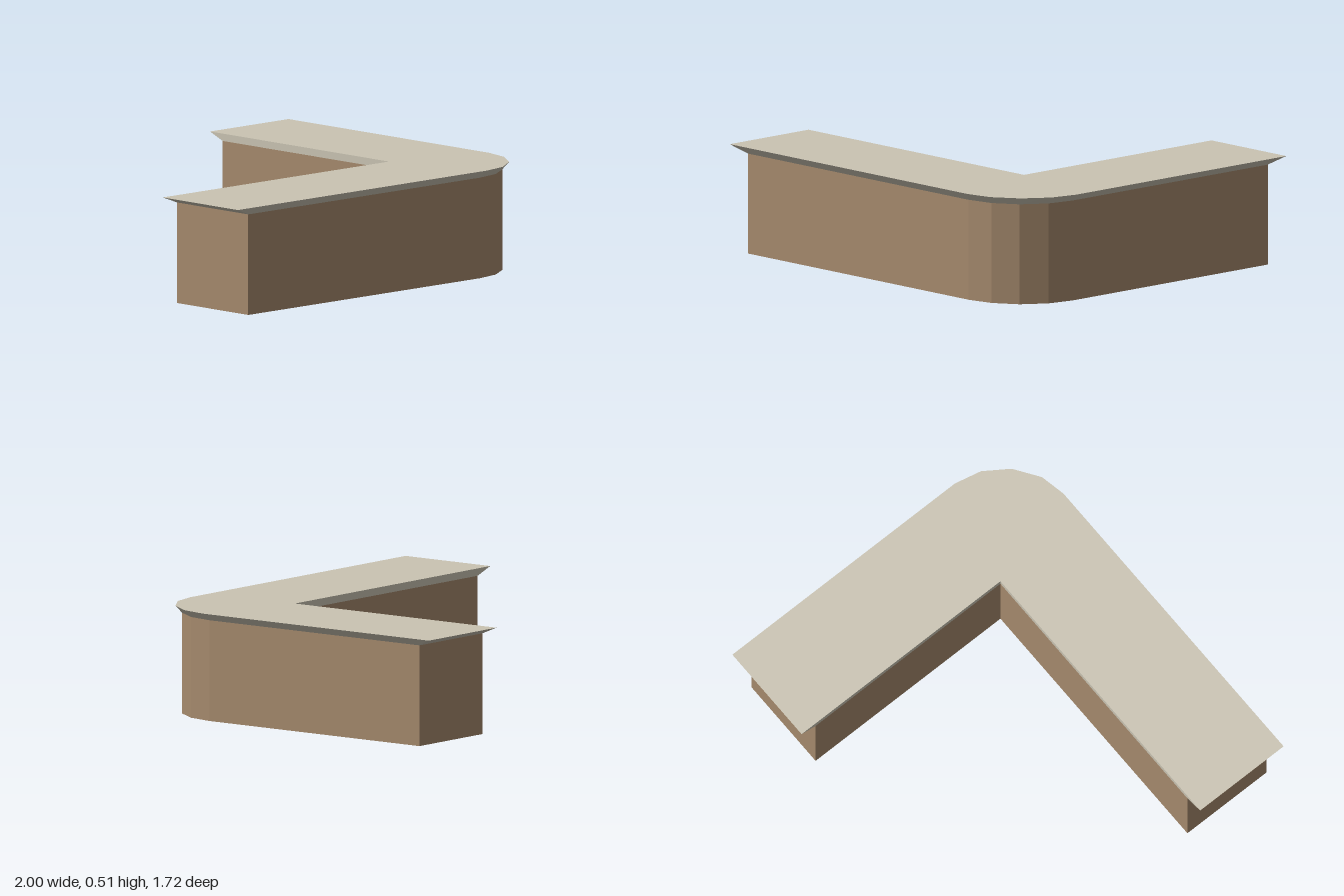
import * as THREE from 'three';

const wood = new THREE.MeshStandardMaterial({ color: 0xa68a6d });
wood.name = 'woodBrown';
const stone = new THREE.MeshStandardMaterial({ color: 0xcac4b3 });
stone.name = 'paleStone';

const HEIGHT = 0.515, BASE_HEIGHT = 0.48;
const INNER_X = 0.485, INNER_Z = 0.35;

// L-shaped plan as [x, z], counter-clockwise from above; the outer corner is a faceted curve
function outline(left, back, corner) {
  const front = corner[0][1], right = corner[corner.length - 1][0];
  return [[left, INNER_Z], [left, front], ...corner,
    [right, back], [INNER_X, back], [INNER_X, INNER_Z]];
}

const baseCorner = [[0.615, 0.83], [0.745, 0.805], [0.86, 0.73], [0.937, 0.615], [0.963, 0.485]];
const topCorner = [[0.637, 0.858], [0.765, 0.832], [0.888, 0.748], [0.97, 0.628], [1, 0.495]];
const basePlan = outline(-0.905, -0.775, baseCorner);
const topPlan = outline(-1, -0.86, topCorner);

// Flat-faced walls joining two matching plans at different heights
function walls(planA, yA, planB, yB) {
  const pos = [];
  planA.forEach((p, i) => {
    const j = (i + 1) % planA.length;
    const a = [p[0], yA, p[1]], b = [planA[j][0], yA, planA[j][1]];
    const c = [planB[j][0], yB, planB[j][1]], d = [planB[i][0], yB, planB[i][1]];
    pos.push(...a, ...b, ...c, ...a, ...c, ...d);
  });
  const g = new THREE.BufferGeometry();
  g.setAttribute('position', new THREE.Float32BufferAttribute(pos, 3));
  g.computeVertexNormals();
  return g;
}

// Horizontal face at height y, facing up (dir = 1) or down (dir = -1)
function slab(plan, y, dir) {
  const shape = new THREE.Shape(plan.map(([x, z]) => new THREE.Vector2(x, -dir * z)));
  return new THREE.ShapeGeometry(shape).rotateX(-dir * Math.PI / 2).translate(0, y, 0);
}

export function createModel() {
  const group = new THREE.Group();
  group.name = 'cornerCounter';
  const add = (name, geometry, material) => {
    const mesh = new THREE.Mesh(geometry, material);
    mesh.name = name;
    group.add(mesh);
  };

  // Cabinet body
  add('counterBody', walls(basePlan, 0, basePlan, BASE_HEIGHT), wood);

  // Underside: stone below the long wing and corner, wood below the side wing
  const longWing = [[-0.905, INNER_Z], [-0.905, 0.83], ...baseCorner, [0.963, INNER_Z]];
  const sideWing = [[INNER_X, INNER_Z], [0.963, INNER_Z], [0.963, -0.775], [INNER_X, -0.775]];
  add('longWingUnderside', slab(longWing, 0, -1), stone);
  add('sideWingUnderside', slab(sideWing, 0, -1), wood);

  // Worktop with a flared edge
  add('worktopEdge', walls(basePlan, BASE_HEIGHT, topPlan, HEIGHT), stone);
  add('worktop', slab(topPlan, HEIGHT, 1), stone);

  return group;
}
